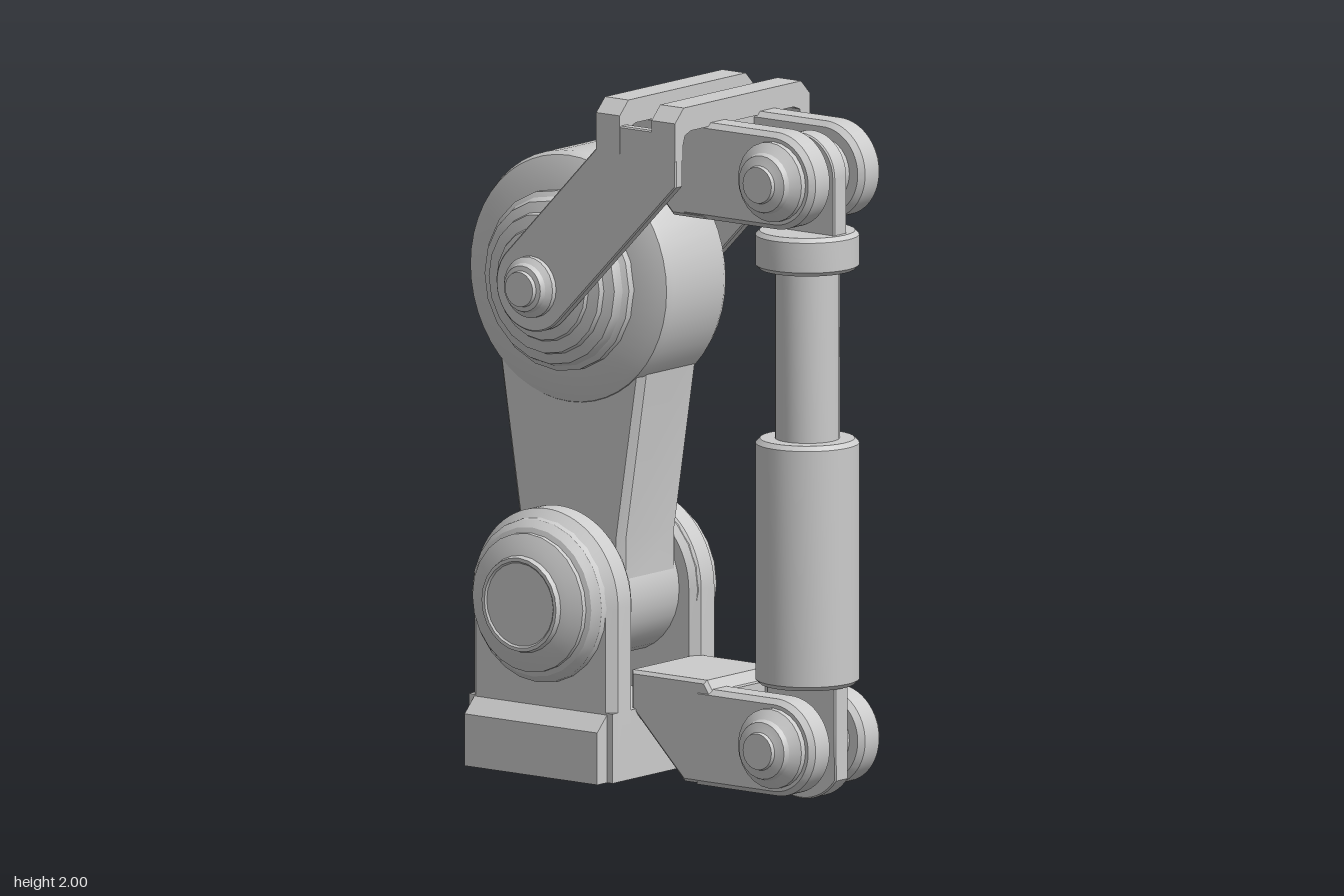
import * as THREE from 'three';
import { toCreasedNormals } from 'three/addons/utils/BufferGeometryUtils.js';

const grey = new THREE.MeshStandardMaterial({ color: 0xcccccc });

export function createModel() {
  const model = new THREE.Group();

  function add(name, geometry) {
    const mesh = new THREE.Mesh(toCreasedNormals(geometry, 0.5), grey);
    mesh.name = name;
    model.add(mesh);
    return mesh;
  }

  const polygon = (pts) => new THREE.Shape(pts.map(([x, y]) => new THREE.Vector2(x, y)));

  // Flat outline in x/y, thickened from z0 to z1 with chamfered edges
  function plate(name, shape, z0, z1, bevel = 0.01) {
    const g = new THREE.ExtrudeGeometry(shape, {
      depth: z1 - z0 - 2 * bevel, curveSegments: 20, bevelEnabled: bevel > 0,
      bevelSize: bevel, bevelThickness: bevel, bevelOffset: -bevel, bevelSegments: 1,
    });
    g.translate(0, 0, z0 + bevel);
    return add(name, g);
  }

  // Outline in z/y, extruded along x
  function beam(name, pts, x0, x1, z = 0) {
    const g = new THREE.ExtrudeGeometry(polygon(pts), { depth: x1 - x0, bevelEnabled: false });
    g.rotateY(Math.PI / 2);
    g.translate(x0, 0, z);
    return add(name, g);
  }

  // Turned part: profile of [radius, height]; dir 0 = along y, +1 / -1 = along z
  function turned(name, profile, x, y, z = 0, dir = 1, sides = 24) {
    const pts = profile.map(([r, h]) => new THREE.Vector2(r, h));
    const g = new THREE.LatheGeometry(pts, sides);
    g.rotateX(dir * Math.PI / 2);
    g.translate(x, y, z);
    return add(name, g);
  }

  // Closed drum profile with chamfered rims
  const drum = (r, h0, h1, c) => [[0, h0], [r - c, h0], [r, h0 + c], [r, h1 - c], [r - c, h1], [0, h1]];

  const kneeX = -0.27, kneeY = 0.52, drumY = 1.43, rodX = 0.485, baseZ = 0.02;

  // Base block with sloped side skirts
  const base = plate('base', polygon([[-0.53, 0.02], [-0.01, 0.02], [-0.01, 0.22], [-0.53, 0.22]]),
    baseZ - 0.245, baseZ + 0.245, 0.0);
  base.name = 'baseBlock';
  beam('baseSkirt', [[-0.29, 0.02], [0.29, 0.02], [0.29, 0.17], [0.245, 0.215], [-0.245, 0.215], [-0.29, 0.17]],
    -0.51, -0.03, baseZ);

  // Base yoke plates and stepped joint covers
  const yoke = new THREE.Shape();
  yoke.moveTo(-0.53, 0.03);
  yoke.lineTo(-0.01, 0.03);
  yoke.absarc(kneeX, kneeY, 0.26, 0, Math.PI, false);
  yoke.closePath();
  for (const s of [1, -1]) {
    const [z0, z1] = s > 0 ? [0.135, 0.245] : [-0.245, -0.135];
    plate('baseYoke', yoke, baseZ + z0, baseZ + z1, 0.025);
    turned('lowerJointCover', [
      [0.255, 0.15], [0.255, 0.19], [0.238, 0.235], [0.235, 0.262], [0.215, 0.285], [0.2, 0.29], [0.2, 0.305],
      [0.165, 0.322], [0.14, 0.33], [0.135, 0.345], [0.125, 0.345], [0.12, 0.34], [0, 0.34],
    ], kneeX, kneeY, baseZ, s);
  }
  turned('lowerJointBarrel', drum(0.2, -0.17, 0.17, 0.01), kneeX, kneeY, baseZ, 1, 32);

  // Tapered main arm
  const arm = new THREE.Shape();
  arm.moveTo(0.02, 1.35);
  arm.lineTo(-0.56, 1.35);
  arm.lineTo(-0.46, 0.7);
  arm.absarc(kneeX, kneeY, 0.19, Math.PI, Math.PI * 2, false);
  arm.lineTo(-0.08, 0.7);
  arm.closePath();
  plate('mainArm', arm, -0.125, 0.135, 0.02);

  // Upper drum with stepped covers and pivot pins
  turned('upperDrum', [
    [0, -0.165], [0.255, -0.165], [0.33, -0.145], [0.355, -0.135], [0.365, -0.115],
    [0.365, 0.115], [0.355, 0.135], [0.33, 0.145], [0.255, 0.165], [0, 0.165],
  ], kneeX, drumY, 0.003, 1, 48);
  for (const s of [1, -1]) {
    turned('upperDrumCover', [
      [0.26, 0.14], [0.26, 0.19], [0.245, 0.2], [0.235, 0.225], [0.205, 0.235], [0.2, 0.25],
      [0.165, 0.255], [0.16, 0.265], [0.125, 0.27], [0.12, 0.285], [0, 0.285],
    ], kneeX, drumY, 0, s, 20);
    turned('upperPivotPin', [
      [0.088, 0.28], [0.088, 0.322], [0.072, 0.335], [0.066, 0.35], [0.052, 0.352], [0.05, 0.365], [0, 0.365],
    ], kneeX, drumY, 0, s);
  }

  // Rocker side plates
  const rocker = new THREE.Shape();
  rocker.moveTo(0.25, 1.775);
  rocker.lineTo(0.25, 1.93);
  rocker.lineTo(-0.035, 1.93);
  rocker.lineTo(-0.035, 1.86);
  rocker.absarc(kneeX, drumY, 0.13, Math.PI * 0.75, Math.PI * 1.75, false);
  rocker.closePath();
  plate('rockerPlate', rocker, 0.272, 0.306, 0.004);
  plate('rockerPlate', rocker, -0.306, -0.272, 0.004);

  // Rocker cross bars, folded down over the side plates
  const bridge = [[-0.308, 1.85], [-0.308, 1.96], [-0.268, 2], [0.268, 2], [0.308, 1.96], [0.308, 1.85],
    [0.272, 1.85], [0.272, 1.89], [0.262, 1.92], [0.235, 1.93], [-0.235, 1.93], [-0.262, 1.92], [-0.272, 1.89],
    [-0.272, 1.85]];
  beam('rockerCrossBar', bridge, -0.035, 0.05);
  beam('rockerCrossBar', bridge, 0.165, 0.25);

  // Upper clevis: solid root and two fingers
  plate('upperClevisRoot', polygon([[-0.03, 1.935], [-0.03, 1.81], [0.12, 1.66], [0.24, 1.66], [0.24, 1.935]]),
    -0.158, 0.158);
  const upperFinger = new THREE.Shape();
  upperFinger.moveTo(0.15, 1.94);
  upperFinger.lineTo(0.15, 1.66);
  upperFinger.absarc(rodX + 0.005, 1.8, 0.14, -Math.PI / 2, Math.PI / 2, false);
  upperFinger.closePath();

  // Lower clevis: raised root and two fingers
  plate('lowerClevisRoot', polygon([[-0.03, 0.33], [-0.03, 0.22], [0.16, 0.03], [0.28, 0.03], [0.28, 0.3],
    [0.26, 0.3], [0.24, 0.33]]), -0.158, 0.158);
  const lowerFinger = new THREE.Shape();
  lowerFinger.moveTo(0.2, 0.305);
  lowerFinger.lineTo(0.2, 0.025);
  lowerFinger.absarc(rodX + 0.005, 0.165, 0.14, -Math.PI / 2, Math.PI / 2, false);
  lowerFinger.closePath();

  for (const [end, finger, y] of [['upper', upperFinger, 1.8], ['lower', lowerFinger, 0.165]]) {
    plate(end + 'ClevisFinger', finger, 0.066, 0.16, 0.015);
    plate(end + 'ClevisFinger', finger, -0.16, -0.066, 0.015);
    turned(end + 'EyeBushing', drum(0.095, -0.07, 0.07, 0.003), rodX + 0.005, y);
    for (const s of [1, -1]) {
      turned(end + 'ClevisPin', [
        [0.115, 0.15], [0.115, 0.178], [0.1, 0.19], [0.088, 0.2], [0.082, 0.216], [0.068, 0.22],
        [0.055, 0.225], [0.052, 0.236], [0, 0.236],
      ], rodX + 0.005, y, 0, s);
    }
  }

  // Rod eyes: rounded tongues joining the piston to the clevis pins
  const upperEye = new THREE.Shape();
  upperEye.moveTo(rodX - 0.12, 1.6);
  upperEye.lineTo(rodX + 0.12, 1.6);
  upperEye.absarc(rodX, 1.8, 0.12, 0, Math.PI, false);
  upperEye.closePath();
  plate('upperRodEye', upperEye, -0.03, 0.03, 0.004);
  const lowerEye = new THREE.Shape();
  lowerEye.moveTo(rodX + 0.125, 0.36);
  lowerEye.lineTo(rodX - 0.125, 0.36);
  lowerEye.lineTo(rodX - 0.125, 0.2);
  lowerEye.absarc(rodX, 0.155, 0.155, Math.PI * 1.2, Math.PI * 1.8, false);
  lowerEye.lineTo(rodX + 0.125, 0.2);
  lowerEye.closePath();
  plate('lowerRodEye', lowerEye, -0.03, 0.03, 0.004);

  // Piston: cylinder, rod and collar
  turned('pistonCylinder', drum(0.148, 0.33, 1.037, 0.013), rodX, 0, 0, 0, 32);
  turned('pistonRod', drum(0.092, 1.0, 1.56, 0.002), rodX, 0, 0, 0, 28);
  turned('pistonCollar', drum(0.148, 1.527, 1.637, 0.012), rodX, 0, 0, 0, 32);

  return model;
}
